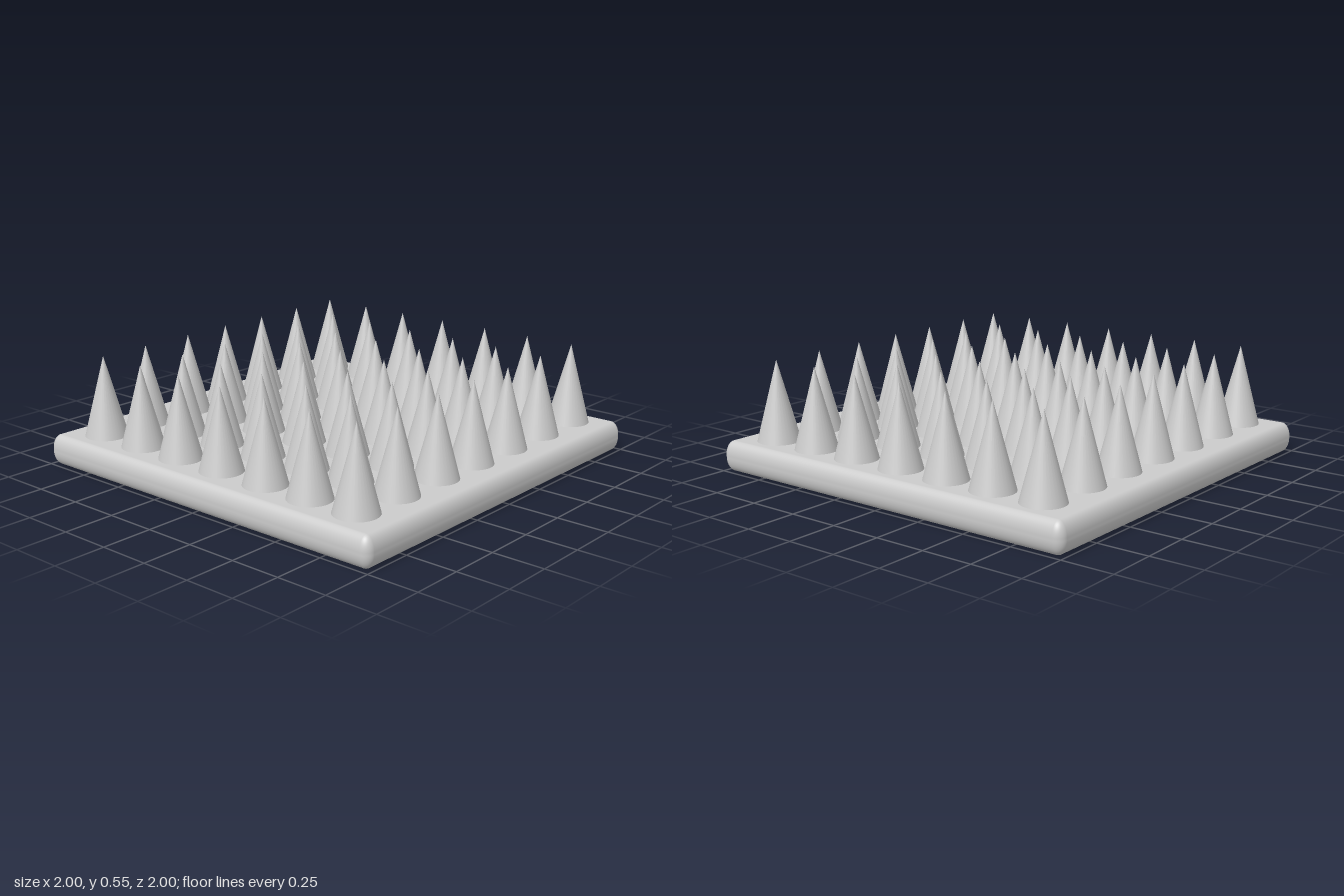
import * as THREE from 'three';
import { RoundedBoxGeometry } from 'three/addons/geometries/RoundedBoxGeometry.js';

export function createModel() {
  const group = new THREE.Group();
  const material = new THREE.MeshStandardMaterial({ color: 0xcccccc });

  // Slab with edges rounded taller than they are deep
  const height = 0.15, stretch = 1.6;
  const slab = new RoundedBoxGeometry(2, height / stretch, 2, 6, 0.043);
  slab.scale(1, stretch, 1);
  const base = new THREE.Mesh(slab, material);
  base.name = 'base';
  base.position.y = height / 2;
  group.add(base);

  // Slightly uneven grid of spikes, feet sunk a little into the slab
  const columns = [-0.785, -0.52, -0.262, 0.004, 0.275, 0.534, 0.79];
  const rows = [-0.824, -0.544, -0.268, 0.004, 0.269, 0.552, 0.818];
  const foot = 0.14, tip = 0.545;
  const cone = new THREE.ConeGeometry(0.107, tip - foot, 32);
  const spikes = new THREE.Group();
  spikes.name = 'spikes';
  for (const z of rows) {
    for (const x of columns) {
      const spike = new THREE.Mesh(cone, material);
      spike.name = 'spike';
      spike.position.set(x, (foot + tip) / 2, z);
      spikes.add(spike);
    }
  }
  group.add(spikes);
  return group;
}
